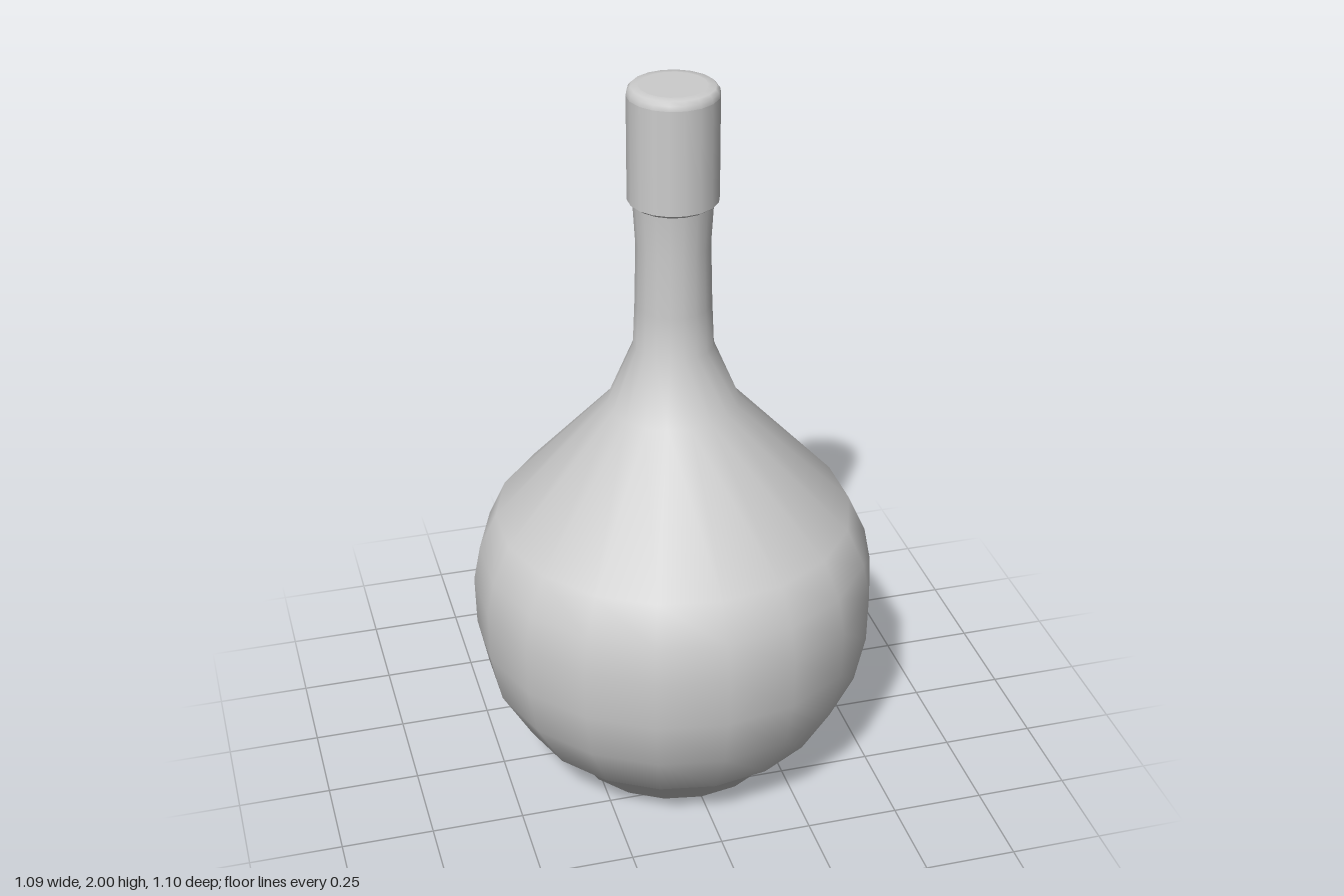
import * as THREE from 'three';

const SIDES = 18;

export function createModel() {
  const group = new THREE.Group();
  const ceramic = new THREE.MeshStandardMaterial({ color: 0xcccccc });
  ceramic.name = 'pale grey ceramic';

  // Turns a profile of [radius, height] points, listed from bottom to top
  function turn(name, profile) {
    const points = profile.map(([r, y]) => new THREE.Vector2(r, y));
    const mesh = new THREE.Mesh(new THREE.LatheGeometry(points, SIDES), ceramic);
    mesh.name = name;
    group.add(mesh);
    return mesh;
  }

  // Flat underside and short foot ring
  turn('underside', [[0, 0], [0.3, 0]]);
  const foot = turn('foot', [[0.3, 0], [0.3, 0.045]]);

  // The foot ring shares the soft shading of the underside
  const { position, normal } = foot.geometry.attributes;
  const n = new THREE.Vector3();
  for (let i = 0; i < position.count; i++) {
    n.set(position.getX(i) * 0.4, -1, position.getZ(i) * 0.4).normalize();
    normal.setXYZ(i, n.x, n.y, n.z);
  }

  // Round belly flowing through the shoulder into the slim neck
  turn('body', [
    [0.3, 0.045], [0.435, 0.14], [0.52, 0.29], [0.549, 0.43], [0.552, 0.57],
    [0.533, 0.67], [0.485, 0.775], [0.178, 1.11], [0.107, 1.28],
    [0.102, 1.4], [0.098, 1.57], [0.105, 1.685],
  ]);

  // Collar around the mouth, with a rounded lip and a flat top
  turn('collarUnderside', [[0.105, 1.685], [0.119, 1.695]]);
  turn('collar', [[0.119, 1.695], [0.119, 1.84], [0.119, 1.975]]);
  turn('lip', [[0.119, 1.975], [0.117, 1.988], [0.108, 1.998], [0.088, 2]]);
  turn('top', [[0.088, 2], [0, 2]]);

  return group;
}
